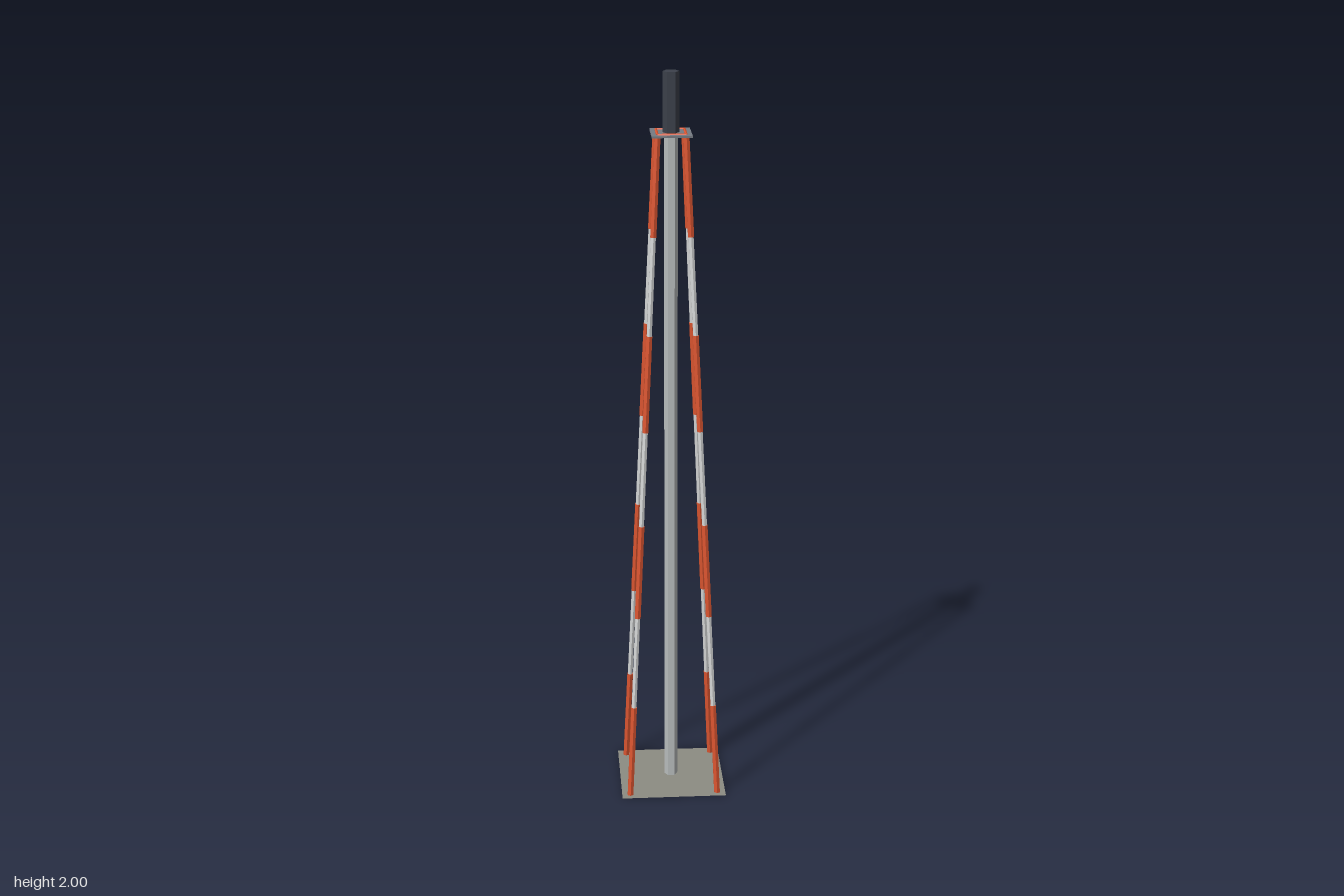
import * as THREE from 'three';

const mat = (name, color, side = THREE.FrontSide) => {
  const m = new THREE.MeshStandardMaterial({ color, side, flatShading: true });
  m.name = name;
  return m;
};

export function createModel() {
  const model = new THREE.Group();
  const orange = mat('orange paint', 0xdb5530);
  const white = mat('white paint', 0xd4d6d6);
  const steel = mat('column grey', 0xb9bdbd);
  const deck = mat('platform grey', 0x767b82);
  const dark = mat('dark metal', 0x3c414b);
  const concrete = mat('concrete', 0x8c8c82, THREE.DoubleSide);

  const add = (name, geometry, material, parent = model) => {
    const mesh = new THREE.Mesh(geometry, material);
    mesh.name = name;
    parent.add(mesh);
    return mesh;
  };

  // Six-sided bar between two points
  const up = new THREE.Vector3(0, 1, 0);
  const bar = (name, a, b, radius, material, parent) => {
    const dir = b.clone().sub(a);
    const mesh = add(name, new THREE.CylinderGeometry(radius, radius, dir.length(), 6), material, parent);
    mesh.position.copy(a).add(b).multiplyScalar(0.5);
    mesh.quaternion.setFromUnitVectors(up, dir.normalize());
    return mesh;
  };

  const deckY = 1.84;

  // Ground slab: a flat sheet
  add('groundSlab', new THREE.PlaneGeometry(0.288, 0.288).rotateX(-Math.PI / 2), concrete).position.y = 0.001;

  // Upright hexagonal column and the mast above it
  const hexUpright = (name, radius, y0, y1, material) => {
    const g = new THREE.CylinderGeometry(radius, radius, y1 - y0, 6).rotateY(Math.PI / 6);
    add(name, g, material).position.y = (y0 + y1) / 2;
  };
  hexUpright('column', 0.018, 0, deckY, steel);
  hexUpright('topMast', 0.0215, deckY, 2, dark);

  // Four sloping legs, each in seven alternating bands
  const bands = 7;
  for (const sx of [-1, 1]) for (const sz of [-1, 1]) {
    const leg = new THREE.Group();
    leg.name = (sz > 0 ? 'front' : 'back') + (sx > 0 ? 'Left' : 'Right') + 'Leg';
    model.add(leg);
    const foot = new THREE.Vector3(sx * 0.121, 0, sz * 0.121);
    const head = new THREE.Vector3(sx * 0.037, deckY, sz * 0.037);
    for (let i = 0; i < bands; i++) {
      const a = foot.clone().lerp(head, i / bands);
      const b = foot.clone().lerp(head, (i + 1) / bands);
      const painted = i % 2 === 0;
      bar('band' + (i + 1), a, b, painted ? 0.009 : 0.0075, painted ? orange : white, leg);
    }
  }

  // Platform plate with a square rail lying on it
  add('platform', new THREE.BoxGeometry(0.105, 0.005, 0.105), deck).position.y = deckY;
  const r = 0.037;
  const corners = [[r, r], [r, -r], [-r, -r], [-r, r]].map(([x, z]) => new THREE.Vector3(x, deckY + 0.002, z));
  corners.forEach((c, i) => bar('rail' + (i + 1), c, corners[(i + 1) % 4], 0.004, orange));

  return model;
}
